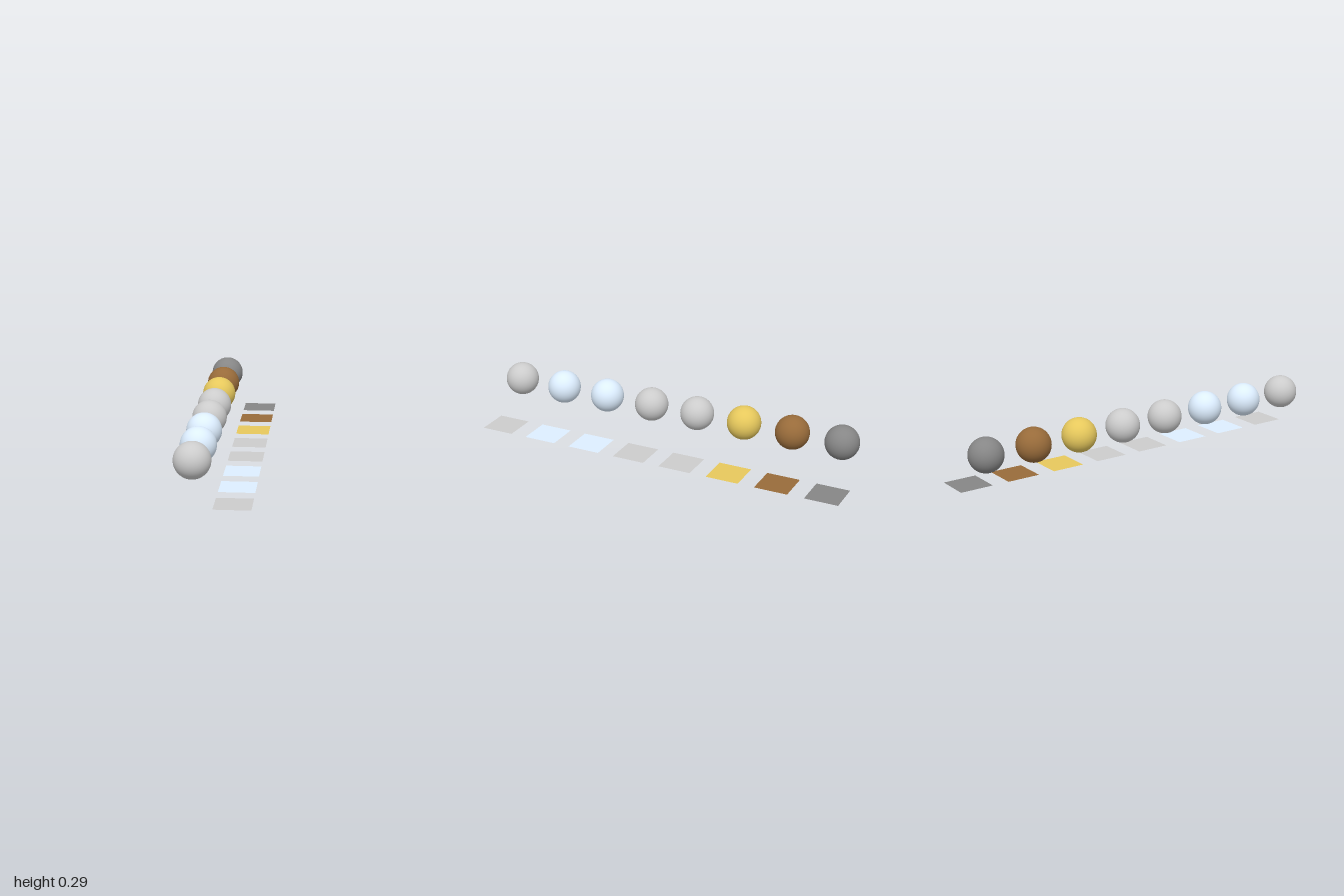
import * as THREE from 'three';

const RADIUS = 0.087;
const SPACING = 0.261;

// Swatch colours, from front (+z) to back (-z)
const COLORS = [0xcccccc, 0xddeeff, 0xddeeff, 0xcccccc, 0xcccccc, 0xe6c85c, 0x986b3a, 0x868686];

export function createModel() {
  const model = new THREE.Group();
  model.name = 'materialSamples';

  const ballGeometry = new THREE.SphereGeometry(RADIUS, 48, 32);
  const tileGeometry = new THREE.PlaneGeometry(2 * RADIUS, 2 * RADIUS).rotateX(-Math.PI / 2);

  COLORS.forEach((color, i) => {
    const sample = new THREE.Group();
    sample.name = `sample${i + 1}`;
    sample.position.z = ((COLORS.length - 1) / 2 - i) * SPACING;

    // Floating ball on the right
    const ball = new THREE.Mesh(ballGeometry, new THREE.MeshStandardMaterial({ color }));
    ball.name = 'ball';
    ball.position.set(-0.093, 0.201, 0);

    // Flat square tile on the left, visible from both sides
    const tile = new THREE.Mesh(
      tileGeometry,
      new THREE.MeshStandardMaterial({ color, side: THREE.DoubleSide })
    );
    tile.name = 'tile';
    tile.position.x = 0.093;

    sample.add(ball, tile);
    model.add(sample);
  });

  return model;
}
